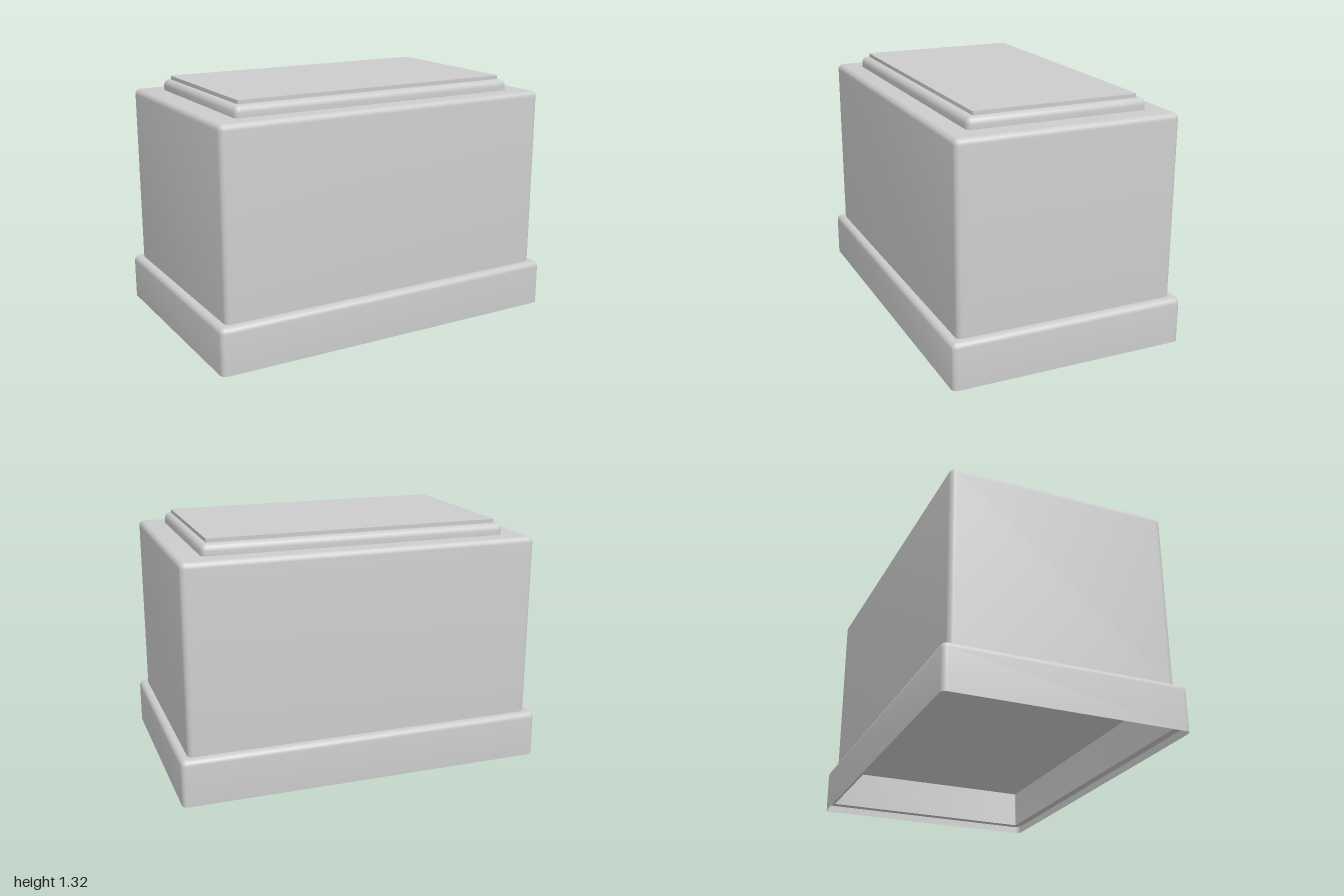
import * as THREE from 'three';
import { toCreasedNormals } from 'three/addons/utils/BufferGeometryUtils.js';

const CORNER_STEPS = 5;

// Horizontal rounded rectangle at height y
function ring(halfW, halfD, radius, y) {
  const points = [];
  for (const [sx, sz, start] of [[1, 1, 0], [-1, 1, 1], [-1, -1, 2], [1, -1, 3]]) {
    for (let i = 0; i <= CORNER_STEPS; i++) {
      const a = (start + i / CORNER_STEPS) * Math.PI / 2;
      points.push([
        sx * (halfW - radius) + radius * Math.cos(a), y,
        sz * (halfD - radius) + radius * Math.sin(a),
      ]);
    }
  }
  return points;
}

// Skin a rounded rectangle along a profile of [inset, y]; inset null closes at the centre
function loft(halfW, halfD, radius, profile) {
  const rings = profile.map(([inset, y]) => inset === null
    ? ring(0, 0, 0, y)
    : ring(halfW - inset, halfD - inset, Math.max(radius - inset, 0.003), y));
  const n = rings[0].length;
  const position = [];
  for (let k = 0; k < rings.length - 1; k++) {
    for (let i = 0; i < n; i++) {
      const j = (i + 1) % n;
      const [a, b, c, d] = [rings[k][i], rings[k][j], rings[k + 1][j], rings[k + 1][i]];
      if (profile[k + 1][0] !== null) position.push(...a, ...d, ...c);
      if (profile[k][0] !== null) position.push(...a, ...c, ...b);
    }
  }
  const geometry = new THREE.BufferGeometry();
  geometry.setAttribute('position', new THREE.Float32BufferAttribute(position, 3));
  return toCreasedNormals(geometry, Math.PI / 5);
}

// Upright wall with a rounded top edge and a flat top
function roundedTop(bottom, top, fillet) {
  const profile = [[0, bottom]];
  for (let i = 0; i <= 5; i++) {
    const a = i / 5 * Math.PI / 2;
    profile.push([fillet * (1 - Math.cos(a)), top - fillet * (1 - Math.sin(a))]);
  }
  profile.push([null, top]);
  return profile;
}

export function createModel() {
  const group = new THREE.Group();
  const material = new THREE.MeshStandardMaterial({ color: 0xcccccc, side: THREE.DoubleSide });
  const add = (name, geometry) => {
    const mesh = new THREE.Mesh(geometry, material);
    mesh.name = name;
    group.add(mesh);
  };

  // Stacked tiers, from the plinth up
  add('base', loft(1, 0.647, 0.03, roundedTop(0, 0.25, 0.03)));
  add('body', loft(0.956, 0.604, 0.03, roundedTop(0.25, 1.243, 0.03)));
  add('lid', loft(0.826, 0.49, 0.03, roundedTop(1.243, 1.303, 0.035)));
  add('topPlate', loft(0.793, 0.448, 0.01, [[0, 1.303], [0, 1.323], [null, 1.323]]));

  // Hollow underside: ceiling, inner walls and a narrow ledge behind the rim
  add('hollowUnderside', loft(1, 0.647, 0.05,
    [[null, 0.249], [0.044, 0.249], [0.044, 0.04], [0.001, 0.04]]));

  return group;
}
